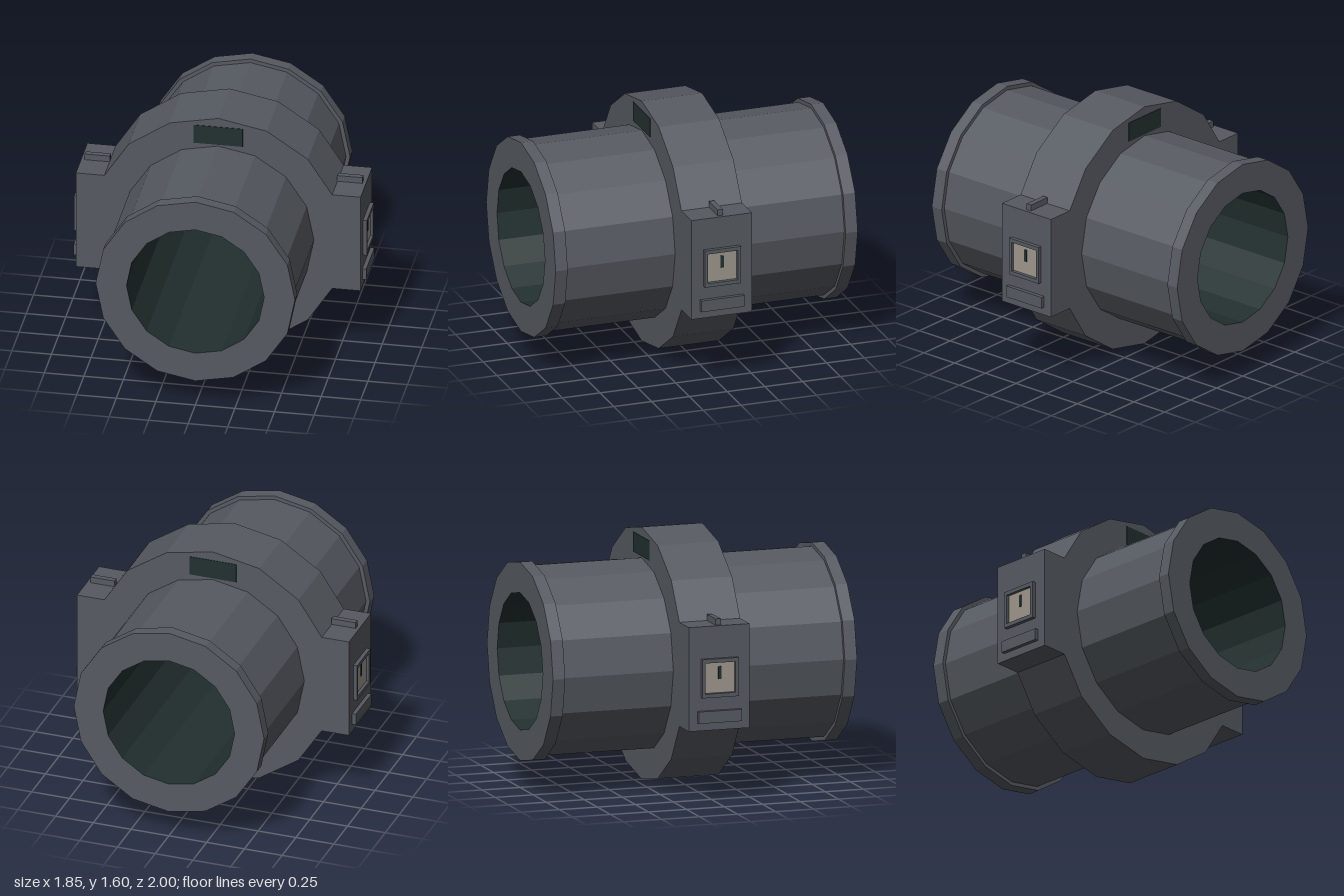
import * as THREE from 'three';

const SIDES = 16;
const CENTER_Y = 0.8;

const makeMat = (name, color) => {
  const m = new THREE.MeshStandardMaterial({ color });
  m.name = name;
  return m;
};

// Faceted normals for the low-poly look
function flat(geometry) {
  const g = geometry.index ? geometry.toNonIndexed() : geometry;
  g.computeVertexNormals();
  return g;
}

// Faceted lathe lying along z
function latheZ(points) {
  const g = new THREE.LatheGeometry(points.map(([r, z]) => new THREE.Vector2(r, z)), SIDES);
  return flat(g.rotateX(Math.PI / 2));
}

function rectPath(Type, w, h) {
  return new Type([
    [-w / 2, -h / 2], [w / 2, -h / 2], [w / 2, h / 2], [-w / 2, h / 2],
  ].map(([x, y]) => new THREE.Vector2(x, y)));
}

export function createModel() {
  const metal = makeMat('gunmetal grey', 0x565a61);
  const dark = makeMat('dark green black', 0x22302f);
  const beige = makeMat('warm beige', 0x9e978c);

  const model = new THREE.Group();
  model.name = 'pipeCoupling';

  const add = (parent, name, geometry, material, x = 0, y = 0, z = 0) => {
    const mesh = new THREE.Mesh(geometry, material);
    mesh.name = name;
    mesh.position.set(x, y, z);
    parent.add(mesh);
    return mesh;
  };
  const box = (parent, name, size, pos, material) =>
    add(parent, name, new THREE.BoxGeometry(...size), material, ...pos);

  // Pipe with a raised rim at both ends, and its dark bore
  const bore = 0.435, rim = 0.63, body = 0.605;
  add(model, 'pipe', latheZ([
    [bore, -1], [rim, -1], [rim, -0.92], [body, -0.92],
    [body, 0.92], [rim, 0.92], [rim, 1], [bore, 1],
  ]), metal, 0, CENTER_Y);
  add(model, 'bore', latheZ([[bore, 1], [bore, -1]]), dark, 0, CENTER_Y);

  // Central collar: polygon ring merged with a square lug on each side
  const outline = [];
  for (let i = 0; i < SIDES; i++) {
    const a = (i / SIDES) * Math.PI * 2;
    const x = 0.8 * Math.cos(a), y = 0.8 * Math.sin(a);
    if (Math.abs(x) < 0.6) outline.push(new THREE.Vector2(x, y));
    else if (Math.abs(y) < 0.01) {
      const s = Math.sign(x);
      [[0.72, -0.33], [0.9, -0.33], [0.9, 0.33], [0.72, 0.33]]
        .forEach(([px, py]) => outline.push(new THREE.Vector2(s * px, s * py)));
    }
  }
  const collar = new THREE.Shape(outline);
  const hole = [];
  for (let i = 0; i < SIDES; i++) {
    const a = (-i / SIDES) * Math.PI * 2;
    hole.push(new THREE.Vector2(0.59 * Math.cos(a), 0.59 * Math.sin(a)));
  }
  collar.holes.push(new THREE.Path(hole));
  const collarGeo = new THREE.ExtrudeGeometry(collar, { depth: 0.4, bevelEnabled: false });
  add(model, 'collar', flat(collarGeo.translate(0, 0, -0.2)), metal, 0, CENTER_Y);

  // Dark display plate on the front and back of the collar
  for (const s of [1, -1]) {
    box(model, s > 0 ? 'frontDisplay' : 'backDisplay', [0.31, 0.125, 0.004], [0, 1.478, s * 0.201], dark);
  }

  // Control panel on each lug, built facing +z and turned outward
  const frame = rectPath(THREE.Shape, 0.24, 0.245);
  frame.holes.push(rectPath(THREE.Path, 0.2, 0.195));
  const frameGeo = new THREE.ExtrudeGeometry(frame, { depth: 0.025, bevelEnabled: false });
  for (const s of [1, -1]) {
    const panel = new THREE.Group();
    panel.name = s > 0 ? 'leftPanel' : 'rightPanel';
    panel.position.x = s * 0.9;
    panel.rotation.y = s * Math.PI / 2;
    add(panel, 'panelFrame', frameGeo, metal, 0, 0.803, 0);
    box(panel, 'panelPlate', [0.194, 0.19, 0.008], [0, 0.804, 0.004], beige);
    box(panel, 'panelSlot', [0.02, 0.08, 0.004], [0, 0.834, 0.009], dark);
    box(panel, 'lowerBar', [0.285, 0.075, 0.025], [0, 0.558, 0.0125], metal);
    model.add(panel);

    // Narrow ridge on top of the lug
    box(model, s > 0 ? 'leftRidge' : 'rightRidge', [0.16, 0.04, 0.036], [s * 0.798, 1.15, 0], metal);
  }

  return model;
}
